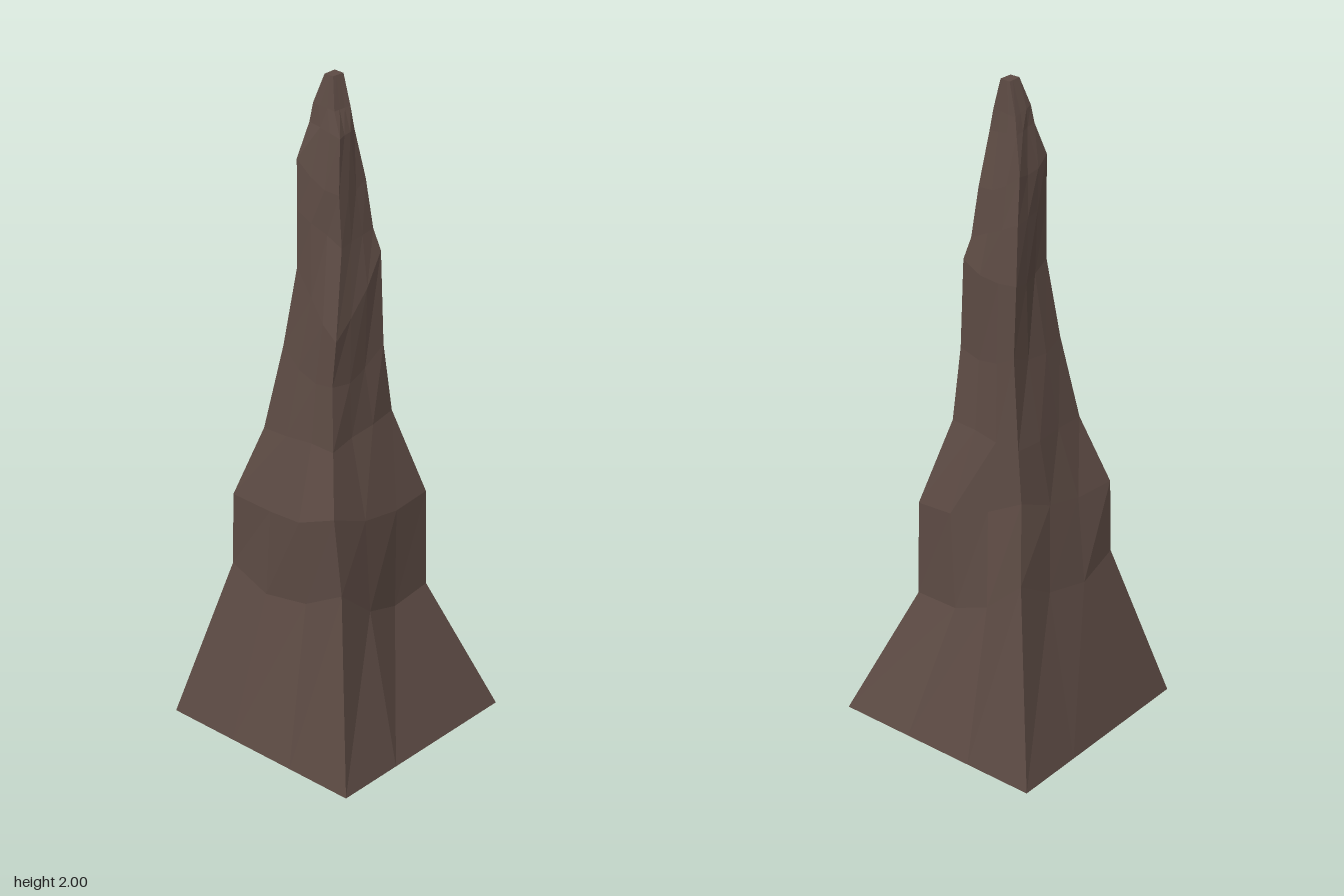
import * as THREE from 'three';

// Ridge profiles from base to tip, each point [x, y, z]
const rightRidge = [
  [0.42, 0, 0.055], [0.24, 0.37, 0.012], [0.24, 0.66, 0.01], [0.15, 0.92, 0.0], [0.125, 1.14, 0.015],
  [0.12, 1.43, 0.005], [0.1, 1.5, 0.0], [0.08, 1.66, 0.0], [0.047, 1.83, 0.012], [0.037, 1.9, 0.01], [0.02, 2, 0.0],
];
const frontRidge = [
  [-0.053, 0, 0.445], [-0.035, 0.53, 0.28], [-0.052, 0.76, 0.26], [-0.04, 0.92, 0.18], [-0.035, 1.1, 0.14],
  [-0.025, 1.24, 0.14], [0.0, 1.5, 0.085], [-0.005, 1.66, 0.073], [0.0, 1.83, 0.06], [-0.01, 1.9, 0.03], [-0.01, 2, 0.012],
];
const leftRidge = [
  [-0.42, 0, -0.057], [-0.27, 0.46, -0.04], [-0.27, 0.68, -0.035], [-0.19, 0.89, -0.02], [-0.14, 1.15, -0.01],
  [-0.105, 1.4, 0.0], [-0.105, 1.58, 0.0], [-0.105, 1.74, -0.005], [-0.07, 1.85, -0.01], [-0.06, 1.91, -0.01], [-0.03, 2, -0.005],
];
const backRidge = [
  [0.053, 0, -0.445], [0.03, 0.55, -0.28], [0.01, 0.76, -0.2], [0.015, 0.92, -0.185], [0.02, 1.2, -0.155],
  [0.01, 1.42, -0.14], [0.0, 1.6, -0.115], [-0.01, 1.74, -0.095], [-0.01, 1.85, -0.058], [-0.01, 1.9, -0.045], [0.0, 2, -0.02],
];
const ridges = [rightRidge, frontRidge, leftRidge, backRidge];
const SEGMENTS = 3; // facets across each side
const ringDip = [0, 0.06, 0.03, 0, 0.03, 0.02, 0, 0.02, 0, 0, 0];

// One closed ring of points through the four ridges
function makeRing(level) {
  const ring = [];
  for (let side = 0; side < 4; side++) {
    const a = new THREE.Vector3(...ridges[side][level]);
    const b = new THREE.Vector3(...ridges[(side + 1) % 4][level]);
    for (let s = 0; s < SEGMENTS; s++) {
      const p = a.clone().lerp(b, s / SEGMENTS);
      if (s > 0) {
        // Weathered unevenness along the faces, flat at base and tip
        p.y -= ringDip[level];
        if (level > 0 && level < ridges[0].length - 1) {
          const swell = 1 + 0.05 * Math.sin(level * 2.3 + side * 1.7 + s * 2.1);
          p.x *= swell;
          p.z *= swell;
        }
      }
      ring.push(p);
    }
  }
  return ring;
}

function spireGeometry() {
  const rings = rightRidge.map((_, level) => makeRing(level));
  const count = rings[0].length;
  const points = rings.flat();
  const index = [];
  for (let k = 0; k < rings.length - 1; k++) {
    for (let i = 0; i < count; i++) {
      const a = k * count + i;
      const b = k * count + ((i + 1) % count);
      index.push(a, a + count, b, b, a + count, b + count);
    }
  }
  // Base and tip caps
  const base = points.push(new THREE.Vector3(0, 0, 0)) - 1;
  const tip = points.push(new THREE.Vector3(-0.005, 2, -0.003)) - 1;
  const last = (rings.length - 1) * count;
  for (let i = 0; i < count; i++) {
    const j = (i + 1) % count;
    index.push(base, i, j, tip, last + j, last + i);
  }
  const geometry = new THREE.BufferGeometry().setFromPoints(points);
  geometry.setIndex(index);
  const faceted = geometry.toNonIndexed();
  faceted.computeVertexNormals();
  return faceted;
}

export function createModel() {
  const group = new THREE.Group();
  group.name = 'rockSpire';
  const rock = new THREE.MeshStandardMaterial({ color: 0x5d4b44, flatShading: true });
  rock.name = 'brownRock';
  const spire = new THREE.Mesh(spireGeometry(), rock);
  spire.name = 'spire';
  group.add(spire);
  return group;
}
